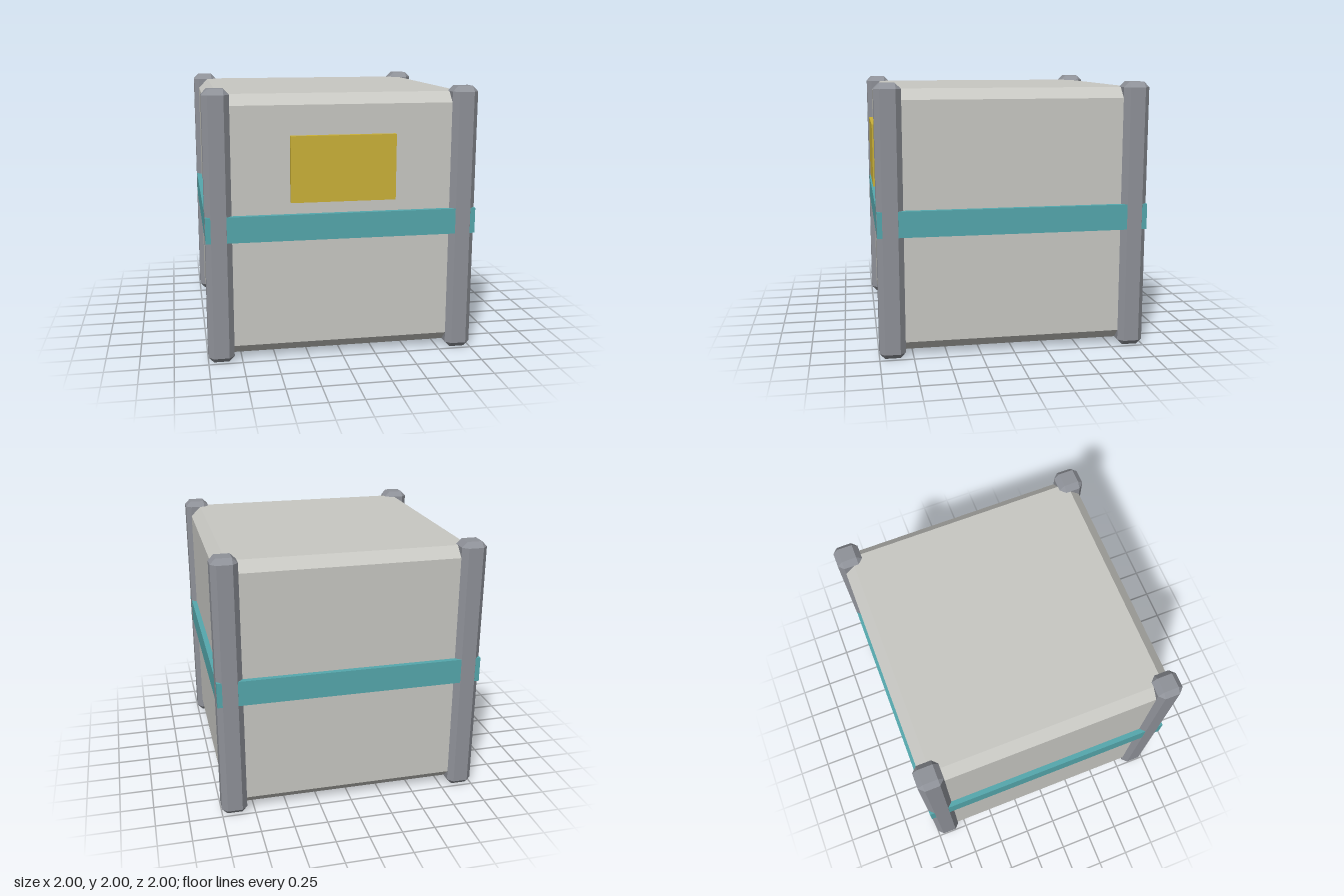
import * as THREE from 'three';
import { ConvexGeometry } from 'three/addons/geometries/ConvexGeometry.js';

const flat = (name, color) => {
  const m = new THREE.MeshStandardMaterial({ color });
  m.name = name;
  return m;
};

// Box with every edge bevelled by b: hull of three points per corner
function bevelBox(w, h, d, b) {
  const pts = [];
  for (const sx of [-1, 1]) for (const sy of [-1, 1]) for (const sz of [-1, 1]) {
    const x = w / 2, y = h / 2, z = d / 2;
    pts.push(
      new THREE.Vector3(sx * x, sy * (y - b), sz * (z - b)),
      new THREE.Vector3(sx * (x - b), sy * y, sz * (z - b)),
      new THREE.Vector3(sx * (x - b), sy * (y - b), sz * z)
    );
  }
  return new ConvexGeometry(pts);
}

export function createModel() {
  const crate = new THREE.Group();
  crate.name = 'crate';
  const panelGrey = flat('panel grey', 0xc8c8c3);
  const postGrey = flat('post grey', 0x8f9299);
  const teal = flat('teal', 0x55a8ad);
  const yellow = flat('yellow', 0xcbb138);

  const add = (name, geometry, material, x, y, z) => {
    const mesh = new THREE.Mesh(geometry, material);
    mesh.name = name;
    mesh.position.set(x, y, z);
    crate.add(mesh);
  };

  // Main body with broad bevels
  add('body', bevelBox(1.92, 1.92, 1.92, 0.077), panelGrey, 0, 1, 0);

  // Four corner posts
  const post = bevelBox(0.192, 2, 0.192, 0.04);
  for (const [side, x] of [['Left', 1], ['Right', -1]])
    for (const [end, z] of [['front', 1], ['back', -1]])
      add(`${end}${side}Post`, post, postGrey, x * 0.904, 1, z * 0.904);

  // Band around the middle, a hair inside the post faces
  add('band', new THREE.BoxGeometry(1.998, 0.19, 1.998), teal, 0, 1.004, 0);

  // Raised plate on the front
  add('frontPlate', new THREE.BoxGeometry(0.77, 0.48, 0.06), yellow, 0, 1.427, 0.97);

  return crate;
}
